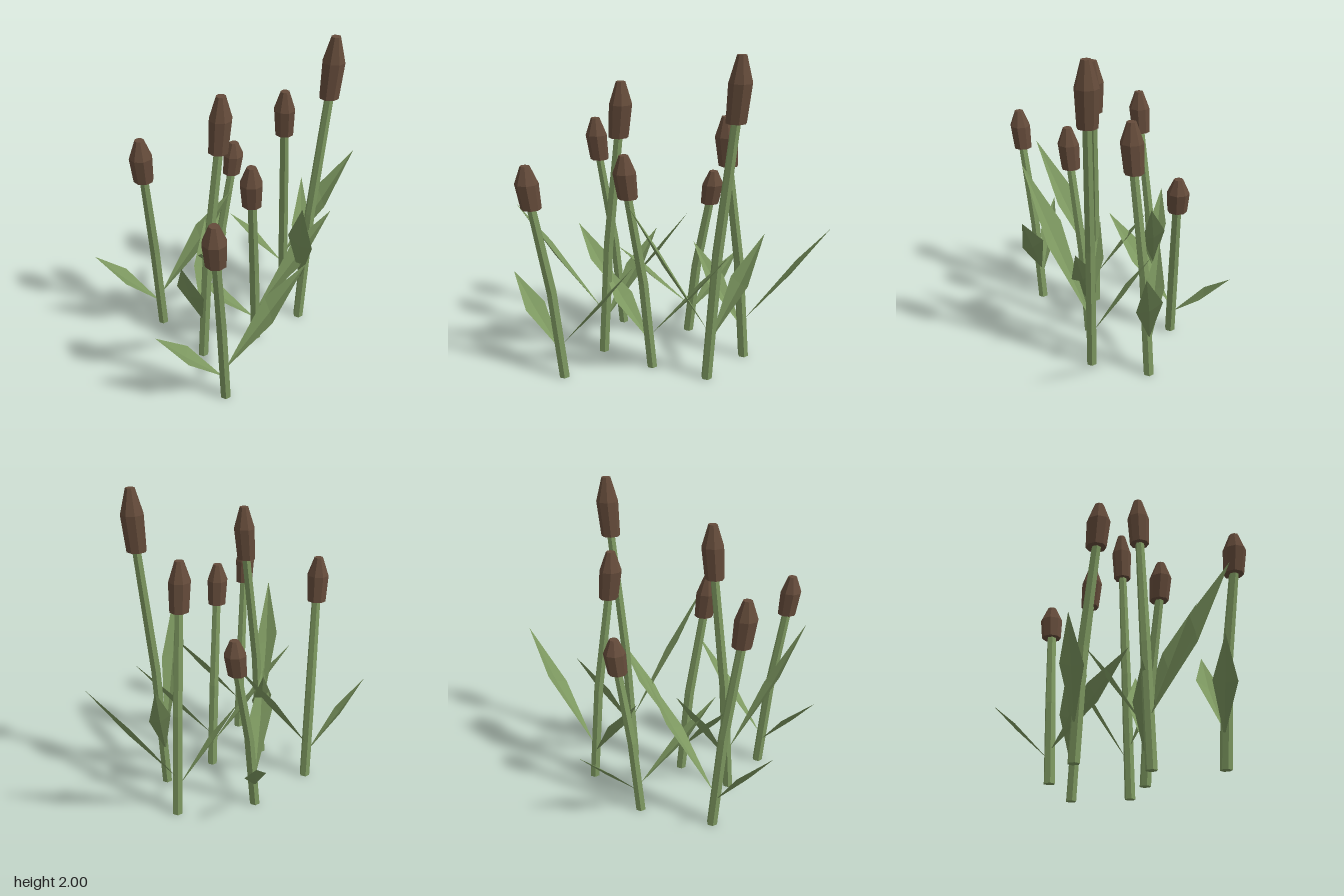
import * as THREE from 'three';

const green = new THREE.MeshStandardMaterial({ color: 0x7d9860, flatShading: true });
const leafGreen = new THREE.MeshStandardMaterial({ color: 0x7d9860, flatShading: true, side: THREE.DoubleSide });
const brown = new THREE.MeshStandardMaterial({ color: 0x644b3a, flatShading: true });

// Capped tube through horizontal rings [x, y, z, radius], listed bottom to top
function loft(rings, sides, turn) {
  const n = rings.length - 1;
  const geo = new THREE.CylinderGeometry(1, 1, 1, sides, n).rotateY(turn);
  const p = geo.attributes.position;
  for (let i = 0; i < p.count; i++) {
    const [x, y, z, r] = rings[Math.round((p.getY(i) + 0.5) * n)];
    p.setXYZ(i, x + p.getX(i) * r, y, z + p.getZ(i) * r);
  }
  geo.computeVertexNormals();
  return geo;
}

// Kite-shaped blade folded along its midrib
function blade([base, sideA, rib, sideB, tip]) {
  const geo = new THREE.BufferGeometry();
  const tris = [base, sideA, rib, sideA, tip, rib, base, rib, sideB, rib, tip, sideB];
  geo.setAttribute('position', new THREE.Float32BufferAttribute(tris.flat(), 3));
  geo.computeVertexNormals();
  return geo;
}

// Plant of unit height leaning to -x
const STEM = [[0, 0, 0, 0.034], [-0.05, 0.42, 0.015, 0.033], [-0.135, 0.83, 0.05, 0.028]];
const HEAD = [[-0.133, 0.815, 0.047, 0.06], [-0.15, 0.925, 0.053, 0.069], [-0.153, 1, 0.055, 0.028]];
const TALL_LEAF = [[0, 0.165, 0], [0.3, 0.445, 0.07], [0.265, 0.405, 0.135], [0.21, 0.39, 0.19], [0.46, 0.615, 0.25]];
const SHORT_LEAF = [[-0.015, 0.125, -0.01], [-0.14, 0.31, -0.17], [-0.197, 0.292, -0.132], [-0.24, 0.295, -0.08], [-0.34, 0.44, -0.23]];

function createPlant(height, mirror) {
  const plant = new THREE.Group();
  const fit = (pts) => pts.map(([x, y, z, ...r]) => [x * mirror, y * height, z, ...r]);
  const add = (name, geo, mat) => {
    const mesh = new THREE.Mesh(geo, mat);
    mesh.name = name;
    plant.add(mesh);
  };
  add('stem', loft(fit(STEM), 6, 0.2), green);
  add('seedHead', loft(fit(HEAD), 8, 0.2), brown);
  add('tallLeaf', blade(fit(TALL_LEAF)), leafGreen);
  add('shortLeaf', blade(fit(SHORT_LEAF)), leafGreen);
  return plant;
}

export function createModel() {
  const model = new THREE.Group();
  model.name = 'reedCluster';
  // x, z, height, mirror
  const plants = [
    [-0.63, 0.365, 1.38, 1],
    [-0.34, -0.39, 1.5, 1],
    [-0.09, 0.215, 1.41, 1],
    [0.5, 0.05, 1.61, 1],
    [-0.425, 0.03, 1.805, -1],
    [0.13, -0.29, 1.18, -1],
    [0.26, 0.335, 2, -1],
  ];
  plants.forEach(([x, z, height, mirror], i) => {
    const plant = createPlant(height, mirror);
    plant.name = `reed${i + 1}`;
    plant.position.set(x, 0, z);
    model.add(plant);
  });
  return model;
}
